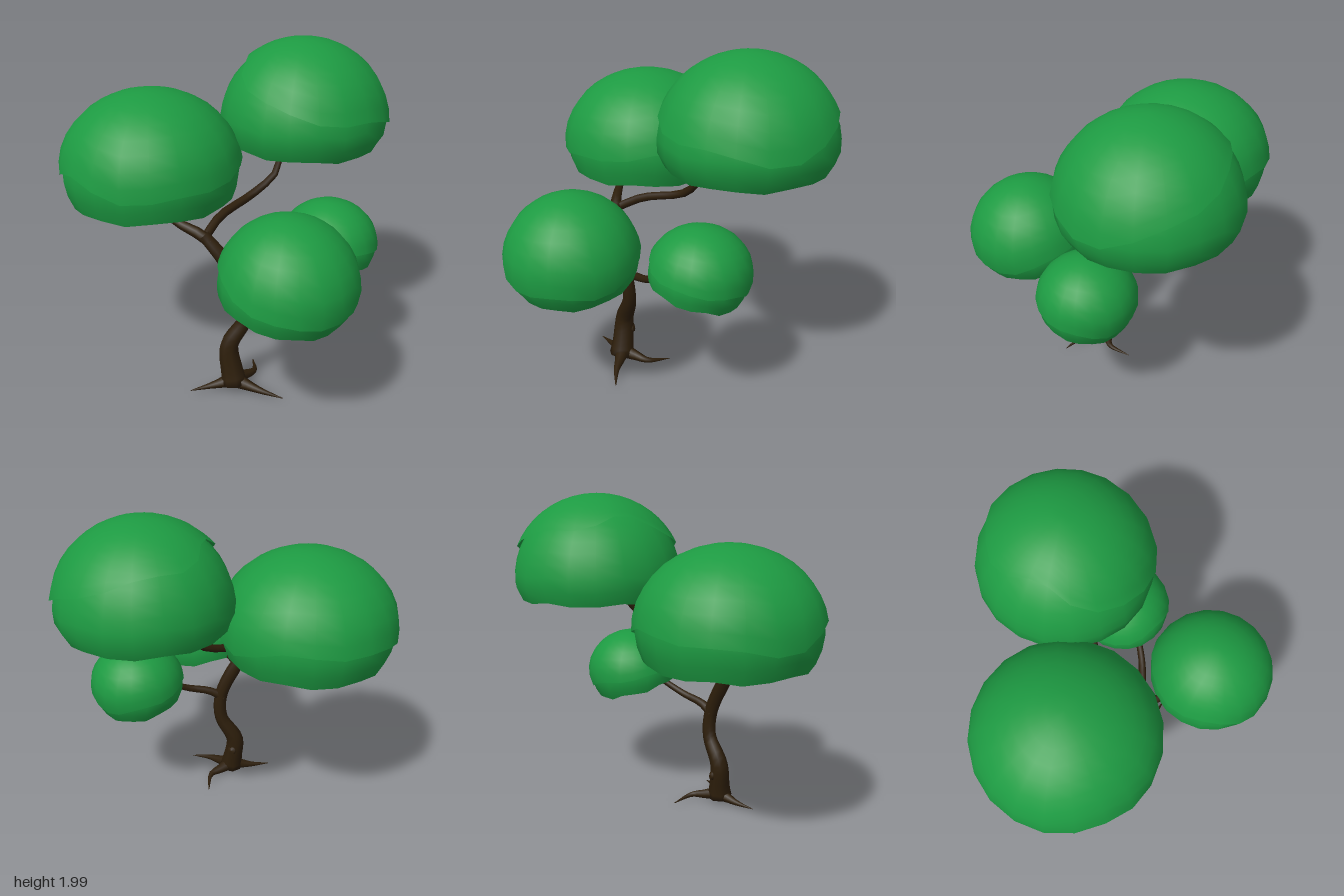
import * as THREE from 'three';
import { mergeVertices } from 'three/addons/utils/BufferGeometryUtils.js';
import { ParametricGeometry } from 'three/addons/geometries/ParametricGeometry.js';

const leafGreen = new THREE.MeshStandardMaterial({ color: 0x1d9a42, side: THREE.DoubleSide });
leafGreen.name = 'leaf green';
const barkBrown = new THREE.MeshStandardMaterial({ color: 0x2d1e0b });
barkBrown.name = 'bark brown';

const lerp = THREE.MathUtils.lerp;

// Weld a geometry so that its normals are smooth across seams
function smooth(geo) {
  geo.deleteAttribute('uv');
  geo.deleteAttribute('normal');
  const g = mergeVertices(geo, 1e-4);
  g.computeVertexNormals();
  return g;
}

// Surface round the y axis; f(angle, v) gives [radius, height]
function shell(name, f, stacks) {
  const geo = new ParametricGeometry((u, v, p) => {
    const a = u * Math.PI * 2;
    const [r, y] = f(a, v);
    p.set(r * Math.cos(a), y, r * Math.sin(a));
  }, 20, stacks);
  const mesh = new THREE.Mesh(smooth(geo), leafGreen);
  mesh.name = name;
  return mesh;
}

// Leaf clump: a dome with a wavy, tilted rim over a longer hollow dome that shows as a skirt
function leafClump(name, o) {
  const group = new THREE.Group();
  group.name = name;
  group.position.set(o.x, 0, o.z);
  const wave = (a) => o.wave * (Math.sin(3 * a + o.seed) + 0.7 * Math.sin(5 * a + 2 * o.seed));
  const rimY = (a) => o.rim + o.rimTilt[0] * Math.cos(a) + o.rimTilt[1] * Math.sin(a) + wave(a);
  const lowY = (a) => o.low + o.lowTilt[0] * Math.cos(a) + o.lowTilt[1] * Math.sin(a)
    + 0.012 * Math.sin(7 * a + o.seed);
  const radius = (y) => {
    if (y < o.mid) return o.r * (1 - 0.08 * ((o.mid - y) / (o.mid - o.low)) ** 2);
    return o.r * Math.sqrt(Math.max(0, 1 - ((y - o.mid) / (o.top - o.mid)) ** 2));
  };
  group.add(
    shell('cap', (a, v) => {
      const y = lerp(rimY(a), o.top, Math.cos(v * Math.PI / 2));
      return [v === 0 ? 0 : radius(y), y];
    }, 9),
    shell('skirt', (a, v) => {
      const y = lerp(lowY(a), o.top, Math.cos(v * Math.PI / 2));
      return [v === 0 ? 0 : radius(y) * 0.965, y - 0.03 * (1 - v)];
    }, 12),
  );
  return group;
}

// Tapered limb along a curve; each point is [x, y, z, radius]
function limb(name, points, steps = 14) {
  const sides = 8;
  const curve = new THREE.CatmullRomCurve3(points.map((p) => new THREE.Vector3(p[0], p[1], p[2])));
  const geo = new THREE.TubeGeometry(curve, steps, 1, sides);
  const pos = geo.attributes.position;
  const v = new THREE.Vector3();
  for (let i = 0; i <= steps; i++) {
    const c = curve.getPointAt(i / steps);
    const t = curve.getUtoTmapping(i / steps) * (points.length - 1);
    const k = Math.min(Math.floor(t), points.length - 2);
    const r = lerp(points[k][3], points[k + 1][3], t - k);
    for (let j = 0; j <= sides; j++) {
      const n = i * (sides + 1) + j;
      v.fromBufferAttribute(pos, n).sub(c).multiplyScalar(r).add(c);
      pos.setXYZ(n, v.x, v.y, v.z);
    }
  }
  const mesh = new THREE.Mesh(smooth(geo), barkBrown);
  mesh.name = name;
  return mesh;
}

export function createModel() {
  const tree = new THREE.Group();
  tree.name = 'tree';

  // Trunk and branches
  tree.add(
    limb('trunk', [
      [0.16, 0.01, 0.38, 0.004], [0.16, 0.045, 0.375, 0.08], [0.145, 0.12, 0.37, 0.068],
      [0.12, 0.29, 0.36, 0.056], [0.195, 0.46, 0.305, 0.042], [0.205, 0.62, 0.315, 0.042],
      [0.15, 0.8, 0.37, 0.046], [0.11, 0.88, 0.4, 0.042], [0.0, 1.01, 0.43, 0.033],
    ], 28),
    limb('leftBranch', [
      [0.04, 0.97, 0.42, 0.032], [-0.03, 1.015, 0.435, 0.033], [-0.18, 1.07, 0.45, 0.024],
      [-0.26, 1.14, 0.44, 0.019], [-0.4, 1.22, 0.4, 0.016], [-0.55, 1.28, 0.36, 0.01],
    ]),
    limb('topBranch', [
      [0.0, 0.98, 0.43, 0.026], [0.002, 1.06, 0.26, 0.026], [0.08, 1.135, -0.01, 0.024],
      [0.165, 1.25, -0.12, 0.02], [0.12, 1.39, -0.23, 0.017], [0.1, 1.65, -0.31, 0.008],
    ]),
    limb('rightBranch', [
      [0.12, 0.84, 0.39, 0.034], [0.2, 0.868, 0.42, 0.026],
      [0.34, 0.89, 0.46, 0.02], [0.56, 0.98, 0.5, 0.01],
    ]),
    limb('backBranch', [
      [0.19, 0.61, 0.32, 0.034], [0.26, 0.658, 0.26, 0.026], [0.36, 0.695, 0.15, 0.022],
      [0.44, 0.775, 0.01, 0.019], [0.5, 0.9, -0.16, 0.009],
    ]),
  );

  // Roots spreading from the base: a bend point and a tip for each
  const roots = [
    [[0.05, 0.47], [-0.03, 0.035, 0.56]],
    [[0.34, 0.36], [0.47, 0.018, 0.33]],
    [[0.2, 0.2], [0.12, 0.02, 0.07]],
  ];
  roots.forEach(([bend, tip], i) => {
    const at = (t, h, r) => [lerp(0.155, bend[0], t), h, lerp(0.37, bend[1], t), r];
    tree.add(limb('root' + (i + 1), [
      at(0.1, 0.065, 0.045), at(0.55, 0.052, 0.03), at(1, 0.042, 0.018), [...tip, 0.002],
    ], 10));
  });

  // Cut stub low on the back of the trunk
  tree.add(limb('knot', [
    [0.125, 0.19, 0.35, 0.03], [0.11, 0.215, 0.315, 0.03],
    [0.108, 0.22, 0.3, 0.026], [0.108, 0.22, 0.299, 0.001],
  ], 8));

  // Leaf clumps
  tree.add(
    leafClump('leftLeaves', {
      x: -0.42, z: 0.32, r: 0.53, top: 1.765, mid: 1.31, rim: 1.31, low: 1.135,
      rimTilt: [0, 0], lowTilt: [0.01, 0], wave: 0.038, seed: 2.2,
    }),
    leafClump('topLeaves', {
      x: 0.195, z: -0.39, r: 0.52, top: 2, mid: 1.5, rim: 1.7, low: 1.385,
      rimTilt: [-0.16, 0.02], lowTilt: [-0.02, 0], wave: 0.025, seed: 0.4,
    }),
    leafClump('rightLeaves', {
      x: 0.57, z: 0.515, r: 0.38, top: 1.275, mid: 0.9, rim: 0.91, low: 0.79,
      rimTilt: [-0.1, 0], lowTilt: [-0.07, 0], wave: 0.018, seed: 1.1,
    }),
    leafClump('backLeaves', {
      x: 0.49, z: -0.18, r: 0.295, top: 1.105, mid: 0.84, rim: 0.84, low: 0.735,
      rimTilt: [0, 0.08], lowTilt: [0, 0.07], wave: 0.016, seed: 3.3,
    }),
  );
  return tree;
}
